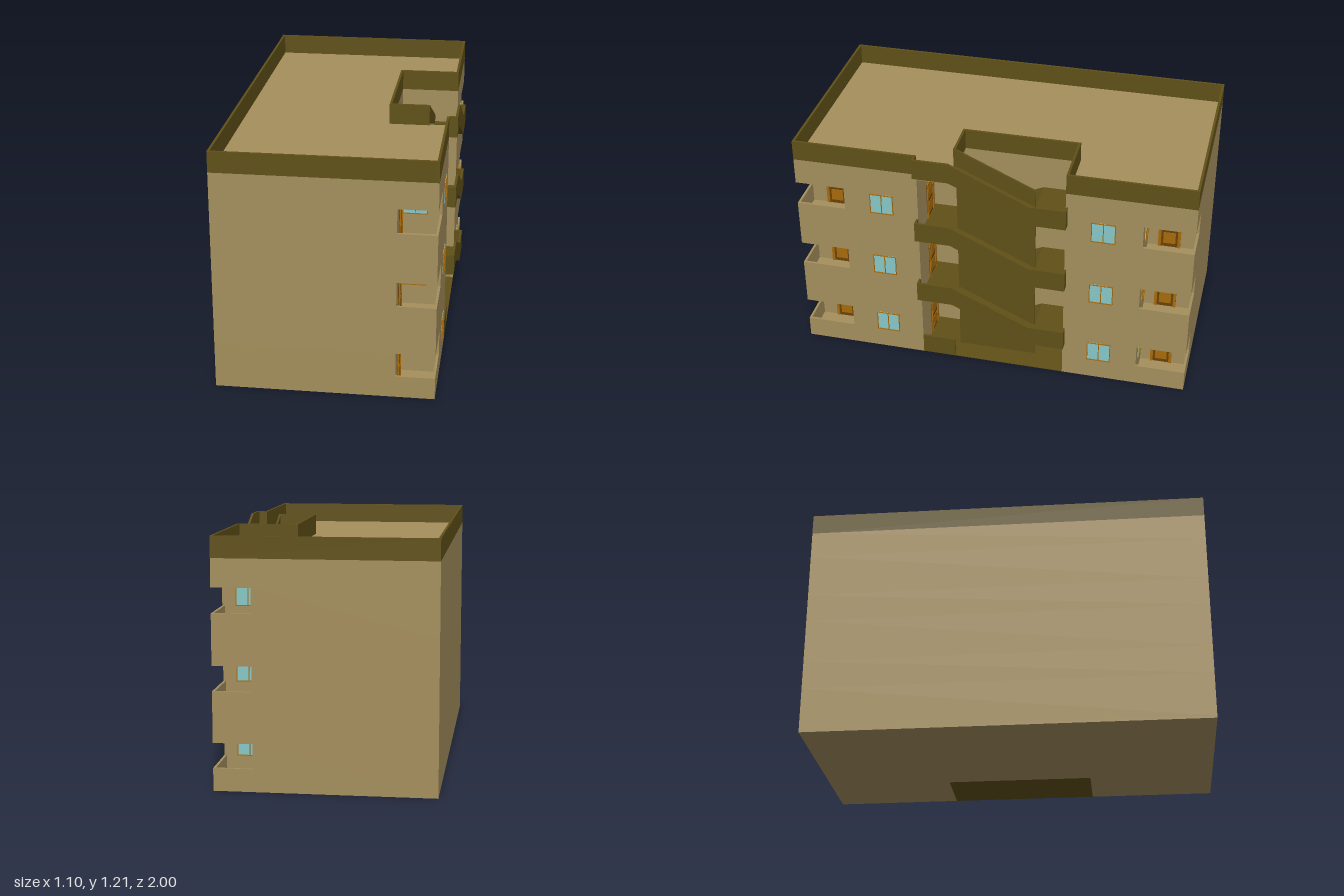
import * as THREE from 'three';

const mat = (color) => new THREE.MeshStandardMaterial({ color, flatShading: true, side: THREE.DoubleSide });

export function createModel() {
  const model = new THREE.Group();
  const tan = mat(0xa58f5d), olive = mat(0x615118), orange = mat(0xa86c0c), brown = mat(0x6b4207), glass = mat(0x88c8c8);

  const X0 = -0.55, X1 = 0.508, XN = 0.212, ZN = 0.37; // facade limits and stairwell recess
  const XB = 0.32, ZB = 0.75;                          // balcony recess corner
  const STOREY = 0.367, ROOF = 1.1, RAIL = 0.105, T = 0.012, XR = 0.55;

  const add = (parent, name, geo, m) => {
    const mesh = new THREE.Mesh(geo, m);
    mesh.name = name;
    parent.add(mesh);
    return mesh;
  };
  // box given by its minimum and maximum corners
  const box = (parent, name, m, x0, x1, y0, y1, z0, z1) => {
    const g = new THREE.BoxGeometry(x1 - x0, y1 - y0, z1 - z0);
    g.translate((x0 + x1) / 2, (y0 + y1) / 2, (z0 + z1) / 2);
    return add(parent, name, g, m);
  };
  const outline = (pts) => new THREE.Shape(pts.map(([a, b]) => new THREE.Vector2(a, b)));
  // floor plan (x, z) raised from y0 to y1
  const plan = (parent, name, m, pts, y0, y1) => {
    const g = new THREE.ExtrudeGeometry(outline(pts.map(([x, z]) => [x, -z])), { depth: y1 - y0, bevelEnabled: false });
    g.rotateX(-Math.PI / 2).translate(0, y0, 0);
    return add(parent, name, g, m);
  };
  // side profile (z, y) extruded from x0 to x1
  const profile = (parent, name, m, pts, x0, x1) => {
    const g = new THREE.ExtrudeGeometry(outline(pts), { depth: x1 - x0, bevelEnabled: false });
    g.rotateY(-Math.PI / 2).translate(x1, 0, 0);
    return add(parent, name, g, m);
  };

  // two-pane window, lying in the xy plane and facing +z
  const windowUnit = () => {
    const g = new THREE.Group();
    g.name = 'window';
    const w = 0.06, h = 0.055, f = 0.004;
    box(g, 'windowGlass', glass, -w, w, -h, h, 0, 0.004);
    for (const x of [-w, -f / 2, w - f]) box(g, 'windowUpright', orange, x, x + f, -h, h, 0, 0.008);
    for (const y of [-h, h - f]) box(g, 'windowRail', orange, -w, w, y, y + f, 0, 0.008);
    return g;
  };
  // panelled door standing on y = 0 and facing +z
  const doorUnit = () => {
    const g = new THREE.Group();
    g.name = 'door';
    const w = 0.055, h = 0.2, f = 0.014;
    box(g, 'doorLeaf', brown, -w, w, 0, h, 0, 0.003);
    for (const s of [-1, 1]) box(g, 'doorJamb', orange, s * w - (s > 0 ? f : 0), s * w + (s < 0 ? f : 0), 0, h, 0, 0.008);
    box(g, 'doorHead', orange, -w, w, h - f, h, 0, 0.008);
    for (const y of [0.02, 0.108]) box(g, 'doorPanel', orange, -0.03, 0.03, y, y + 0.062, 0, 0.006);
    return g;
  };
  const place = (parent, unit, x, y, z, turn) => {
    unit.position.set(x, y, z);
    unit.rotation.y = turn;
    parent.add(unit);
  };

  // building body in layers: solid floors and storeys with cut balcony corners
  const body = new THREE.Group();
  body.name = 'body';
  model.add(body);
  const notch = [[X1, ZN], [XN, ZN], [XN, -ZN], [X1, -ZN]];
  const solid = [[X0, 1], [X1, 1], ...notch, [X1, -1], [X0, -1]];
  const cut = [[X0, 1], [XB, 1], [XB, ZB], [X1, ZB], ...notch, [X1, -ZB], [XB, -ZB], [XB, -1], [X0, -1]];
  plan(body, 'baseSlab', tan, solid, 0, 0.01);
  for (let k = 0; k < 3; k++) {
    const y = k * STOREY;
    plan(body, 'storeyWalls', tan, cut, y + 0.01, y + 0.231);
    plan(body, 'floorBand', tan, solid, y + 0.231, k < 2 ? y + STOREY + 0.01 : ROOF);

    for (const s of [-1, 1]) {
      // balcony with corner parapet, window and door
      const balcony = new THREE.Group();
      balcony.name = 'balcony';
      model.add(balcony);
      const span = (a, b) => [Math.min(s * a, s * b), Math.max(s * a, s * b)];
      box(balcony, 'balconyParapetSide', tan, X1 - T, X1, y + 0.01, y + 0.11, ...span(ZB, 1));
      box(balcony, 'balconyParapetEnd', tan, XB, X1 - T, y + 0.01, y + 0.11, ...span(1 - T, 1));
      place(balcony, windowUnit(), XB + 0.061, y + 0.166, s * ZB, s > 0 ? 0 : Math.PI);
      place(balcony, doorUnit(), XB, y + 0.01, s * 0.857, Math.PI / 2);
      // facade window
      place(model, windowUnit(), X1 - 0.002, y + 0.166, s * 0.557, Math.PI / 2);
    }
    // entrance door on the stair landing
    place(model, doorUnit(), 0.3, y + 0.01, ZN, Math.PI);
  }

  // roof parapet, following the outer walls and the stairwell edge
  const parapet = new THREE.Group();
  parapet.name = 'roofParapet';
  model.add(parapet);
  const wall = (x0, x1, z0, z1) => box(parapet, 'parapetWall', olive, x0, x1, ROOF, 1.203, z0, z1);
  wall(X0, X0 + T, -1, 1);
  for (const s of [-1, 1]) {
    wall(X0 + T, X1 - T, s > 0 ? 1 - T : -1, s > 0 ? 1 : T - 1);
    wall(X1 - T, X1, s > 0 ? ZN : -1, s > 0 ? 1 : -ZN);
  }
  wall(XN - T, X1 - T, -ZN - T, -ZN);
  wall(XN - T, XN, -ZN, 0.2);
  wall(XN - T, 0.4, 0.2, 0.2 + T);
  box(model, 'roofLanding', tan, XN, XR - T, ROOF - 0.01, ROOF, 0.2, 0.375);

  // staircase: central wall, ramps, landings and outer railing
  const stairs = new THREE.Group();
  stairs.name = 'staircase';
  model.add(stairs);
  box(stairs, 'stairwellFloor', olive, XN, X1, 0, 0.004, -ZN, ZN);
  box(stairs, 'groundRailing', olive, X1 - T, X1, 0.004, RAIL, 0.2, ZN);
  profile(stairs, 'centralWall', olive, [[-0.2, 0], [0.2, 0], [0.2, 1.2], [-0.2, 1.02]], 0.39, 0.4);
  // band of the given height along a path of (z, y) points
  const band = (name, path, h, x0, x1) =>
    profile(stairs, name, olive, [...path, ...path.map(([z, y]) => [z, y + h]).reverse()], x0, x1);
  for (let k = 1; k <= 3; k++) {
    const top = k * STOREY, mid = top - STOREY / 2, low = top - STOREY;
    band('outerRailing', [[-0.38, mid], [-0.2, mid], [0.2, top], [0.38, top]], RAIL, XR - T, XR);
    band('outerFlight', [[-0.2, mid], [0.2, top - 0.001]], 0.008, 0.4, XR - T);
    band('innerFlight', [[-0.2, mid], [0.2, low + 0.002]], 0.008, XN, 0.39);
    box(stairs, 'halfLanding', olive, XN, XR - T, mid, mid + 0.008, -ZN, -0.2);
    if (k < 3) box(stairs, 'floorLanding', olive, XN, XR - T, top, top + 0.008, 0.2, ZN);
    box(stairs, 'halfLandingEnd', olive, X1, XR - T, mid, mid + RAIL, -0.38, -ZN);
    box(stairs, 'floorLandingEnd', olive, X1, XR - T, top, top + RAIL, ZN, 0.38);
  }
  return model;
}
